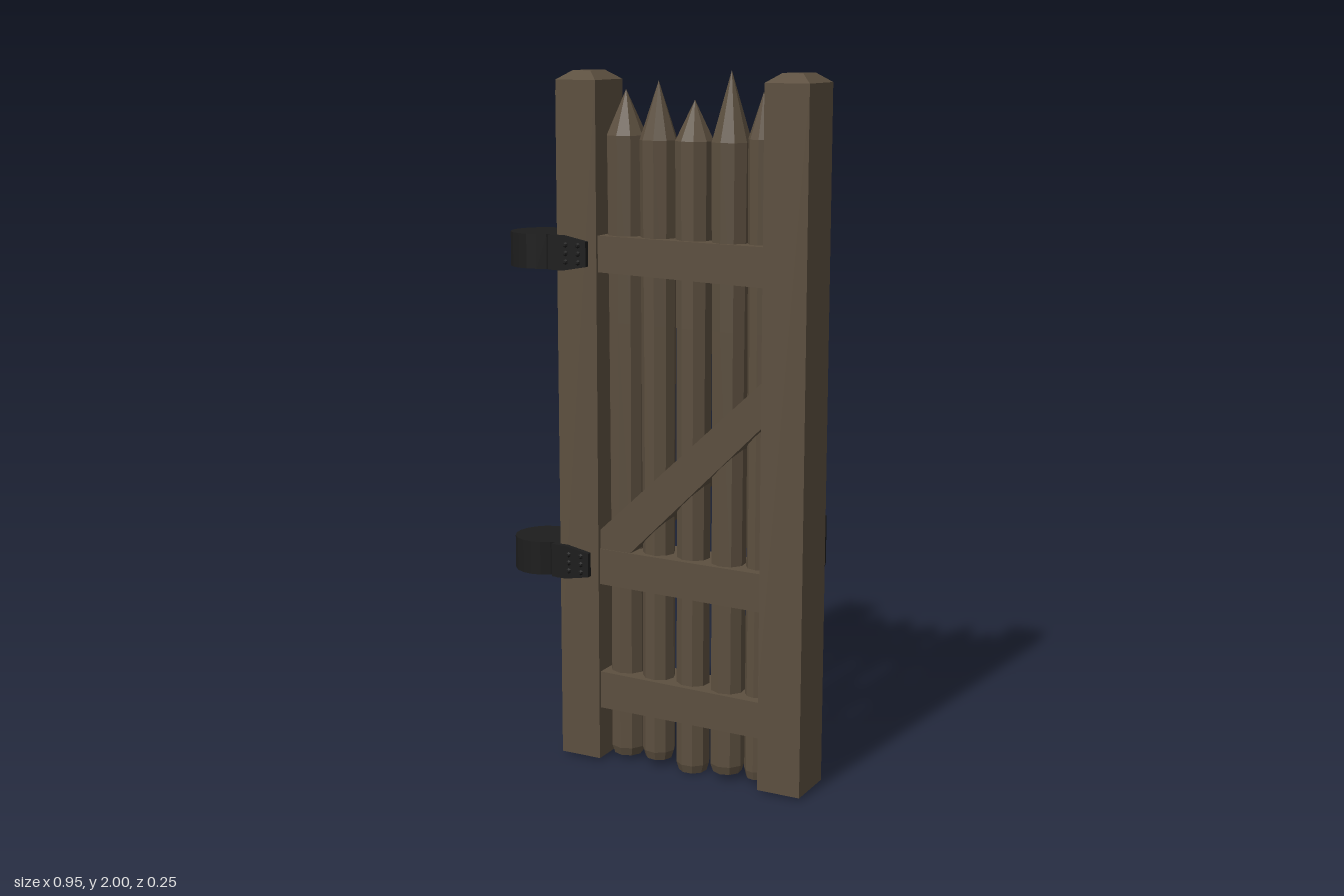
import * as THREE from 'three';

const wood = new THREE.MeshStandardMaterial({ color: 0x5c4f3f, flatShading: true });
wood.name = 'weathered wood';
const iron = new THREE.MeshStandardMaterial({ color: 0x1d1d1d, flatShading: true });
iron.name = 'black iron';

const Z = 0.023; // middle plane of the gate

function add(parent, name, geometry, material, x = 0, y = 0, z = 0) {
  const mesh = new THREE.Mesh(geometry, material);
  mesh.name = name;
  mesh.position.set(x, y, z);
  parent.add(mesh);
  return mesh;
}

// Flat outline in x/y, given thickness along z and centred on z = 0
function board(points, depth) {
  const shape = new THREE.Shape(points.map(([x, y]) => new THREE.Vector2(x, y)));
  const geo = new THREE.ExtrudeGeometry(shape, { depth, bevelEnabled: false });
  return geo.translate(0, 0, -depth / 2);
}

// Box whose end faces shrink over a short chamfer (top and optionally bottom)
function beam(w, y0, y1, d, inset, chamfer, bothEnds) {
  const geo = new THREE.BoxGeometry(w, 1, d, 1, 3, 1);
  const p = geo.attributes.position;
  const levels = [y0, y0 + (bothEnds ? chamfer : 0.3), y1 - chamfer, y1];
  for (let i = 0; i < p.count; i++) {
    const k = Math.round((p.getY(i) + 0.5) * 3);
    p.setY(i, levels[k]);
    if (k === 3 || (k === 0 && bothEnds)) {
      p.setX(i, p.getX(i) * (1 - 2 * inset / w));
      p.setZ(i, p.getZ(i) * (1 - 2 * inset / d));
    }
  }
  geo.computeVertexNormals();
  return geo;
}

// Sharpened stake with a softly chamfered foot
function stake(r, foot, shoulder, tip) {
  const profile = [[0, foot], [r * 0.75, foot], [r * 0.9, foot + 0.025], [r * 0.88, 0.6],
    [r * 0.93, 1.3], [r, shoulder], [0, tip]].map(([x, y]) => new THREE.Vector2(x, y));
  return new THREE.LatheGeometry(profile, 9);
}

// Hinge: round barrel, neck and two straps clasping the post
function hinge(y) {
  const g = new THREE.Group();
  g.name = 'hinge';
  add(g, 'hingeBarrel', new THREE.CylinderGeometry(0.094, 0.094, 0.098, 20), iron, -0.385, y, Z + 0.002);
  const neck = new THREE.BoxGeometry(0.07, 0.098, 0.12);
  add(g, 'hingeNeck', neck, iron, -0.318, y, Z + 0.002);
  for (const s of [1, -1]) {
    const strap = board([[-0.305, -0.049], [-0.27, -0.049], [-0.195, -0.035], [-0.195, 0.035],
      [-0.27, 0.049], [-0.305, 0.049]], 0.016);
    add(g, 'hingeStrap', strap, iron, 0, y, Z + s * 0.084);
    // Bent shoulder joining strap and neck
    const bend = new THREE.BoxGeometry(0.03, 0.098, 0.04);
    add(g, 'hingeShoulder', bend, iron, -0.303, y, Z + s * 0.069);
    for (const x of [-0.26, -0.22]) for (const dy of [-0.024, 0, 0.024]) {
      const rivet = new THREE.CylinderGeometry(0.004, 0.01, 0.008, 6).rotateX(s * Math.PI / 2);
      add(g, 'rivet', rivet, iron, x, y + dy, Z + s * 0.094);
    }
  }
  return g;
}

export function createModel() {
  const gate = new THREE.Group();
  gate.name = 'woodenGate';

  // Upright posts and the narrow batten on the hinge side
  add(gate, 'hingePost', beam(0.126, 0.01, 1.995, 0.153, 0.035, 0.025), wood, -0.232, 0, Z);
  add(gate, 'latchPost', beam(0.129, 0.01, 1.995, 0.153, 0.035, 0.025), wood, 0.405, 0, Z);
  add(gate, 'hingeBatten', beam(0.05, 0.03, 1.955, 0.09, 0.01, 0.015, true), wood, -0.291, 0, Z - 0.002);

  // Pointed stakes: x, z, radius, foot, shoulder, tip
  [
    [-0.115, 0.022, 0.057, 0.018, 1.82, 1.945],
    [-0.009, 0.03, 0.053, 0.025, 1.81, 1.97],
    [0.1, 0.026, 0.054, 0.003, 1.81, 1.92],
    [0.212, 0.03, 0.056, 0.022, 1.81, 2.0],
    [0.305, 0.026, 0.041, 0.018, 1.82, 1.945],
  ].forEach(([x, z, r, foot, shoulder, tip], i) => {
    add(gate, 'stake', stake(r, foot, shoulder, tip), wood, x, 0, z).rotation.y = i * 0.9;
  });

  // Slightly uneven cross rails: lower and upper heights at each end
  [
    [0.165, 0.275, 0.16, 0.265],
    [0.54, 0.645, 0.528, 0.638],
    [1.443, 1.545, 1.43, 1.54],
  ].forEach(([l0, l1, r0, r1]) => {
    add(gate, 'rail', board([[-0.18, l0], [0.35, r0], [0.35, r1], [-0.18, l1]], 0.136), wood, 0, 0, Z);
  });

  // Diagonal brace
  const brace = [[-0.18, 0.63], [-0.085, 0.63], [0.35, 1.06], [0.35, 1.185], [-0.18, 0.69]];
  add(gate, 'brace', board(brace, 0.13), wood, 0, 0, Z);

  // Hinges
  for (const y of [0.597, 1.493]) gate.add(hinge(y));

  // Bent latch handle on the back of the latch post
  const latch = new THREE.Group();
  latch.name = 'latch';
  add(latch, 'latchArm', new THREE.BoxGeometry(0.045, 0.016, 0.07), iron, 0.405, 0.627, -0.083);
  add(latch, 'latchFoot', new THREE.BoxGeometry(0.075, 0.016, 0.025), iron, 0.405, 0.629, -0.108);
  add(latch, 'latchGrip', new THREE.BoxGeometry(0.075, 0.14, 0.013), iron, 0.405, 0.7, -0.118);
  add(latch, 'latchPlate', new THREE.BoxGeometry(0.075, 0.03, 0.018), iron, 0.405, 0.627, -0.058);
  gate.add(latch);

  return gate;
}
